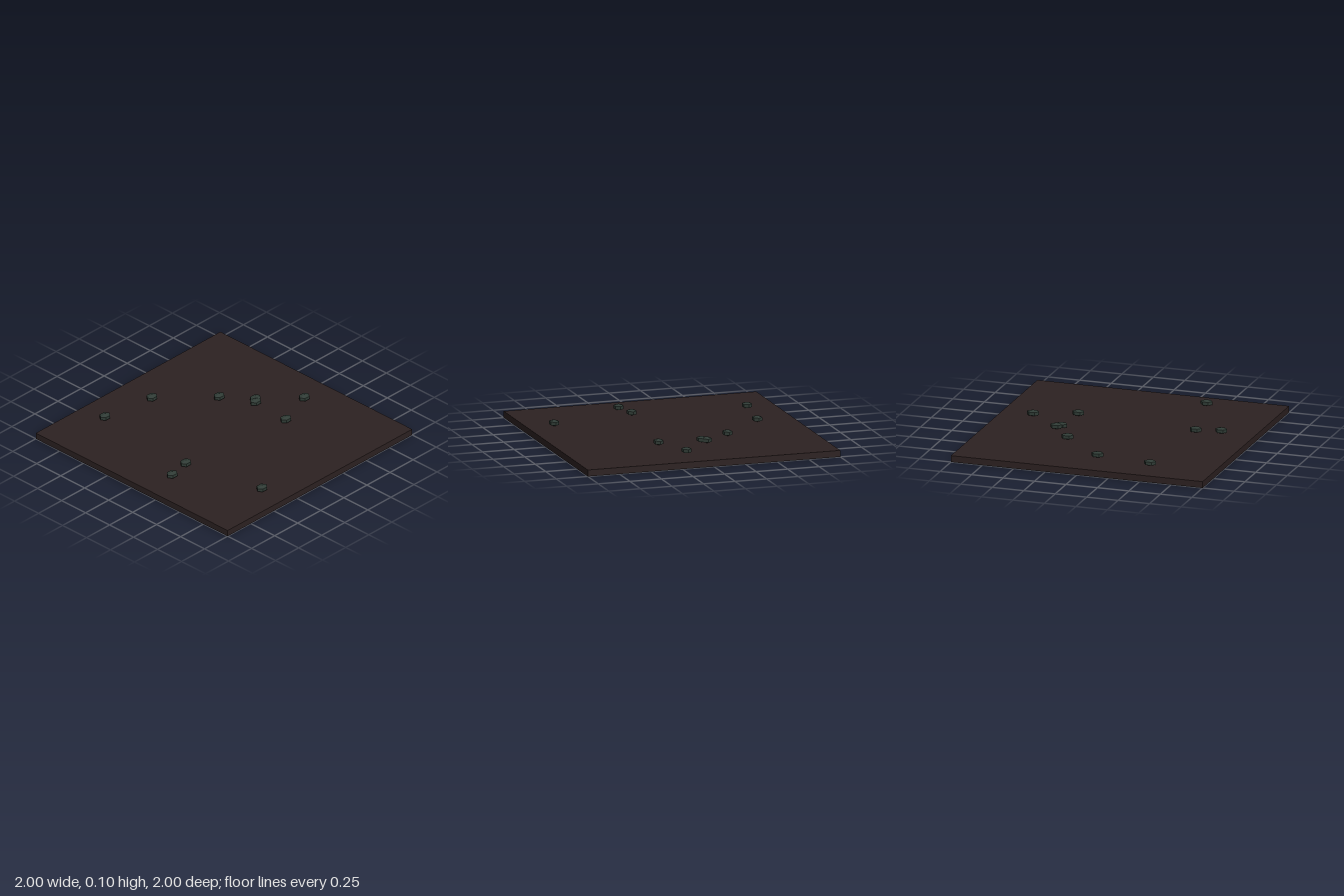
import * as THREE from 'three';

export function createModel() {
  const model = new THREE.Group();

  const soil = new THREE.MeshStandardMaterial({ color: 0x2c2121 });
  soil.name = 'dark soil';
  const moss = new THREE.MeshStandardMaterial({ color: 0x2f3b35 });
  moss.name = 'mossy stone';
  moss.flatShading = true;

  // Square ground slab
  const ground = new THREE.Mesh(new THREE.BoxGeometry(2, 0.05, 2), soil);
  ground.name = 'groundSlab';
  ground.position.y = 0.025;
  model.add(ground);

  // Flattened six-sided pebbles scattered on the slab: [x, z]
  const pebbleGeometry = new THREE.SphereGeometry(1, 6, 3);
  pebbleGeometry.scale(0.054, 0.025, 0.043);
  const spots = [
    [-0.5, -0.76], [-0.06, -0.695], [0.3, -0.34], [0.465, -0.12], [0.435, -0.09],
    [-0.745, 0.175], [-0.555, 0.135], [0.735, 0.13], [0.415, 0.245], [-0.415, 0.795],
  ];
  const pebbles = new THREE.Group();
  pebbles.name = 'pebbles';
  spots.forEach(([x, z], i) => {
    const pebble = new THREE.Mesh(pebbleGeometry, moss);
    pebble.name = `pebble${i + 1}`;
    pebble.position.set(x, 0.078, z);
    pebbles.add(pebble);
  });
  model.add(pebbles);

  return model;
}
